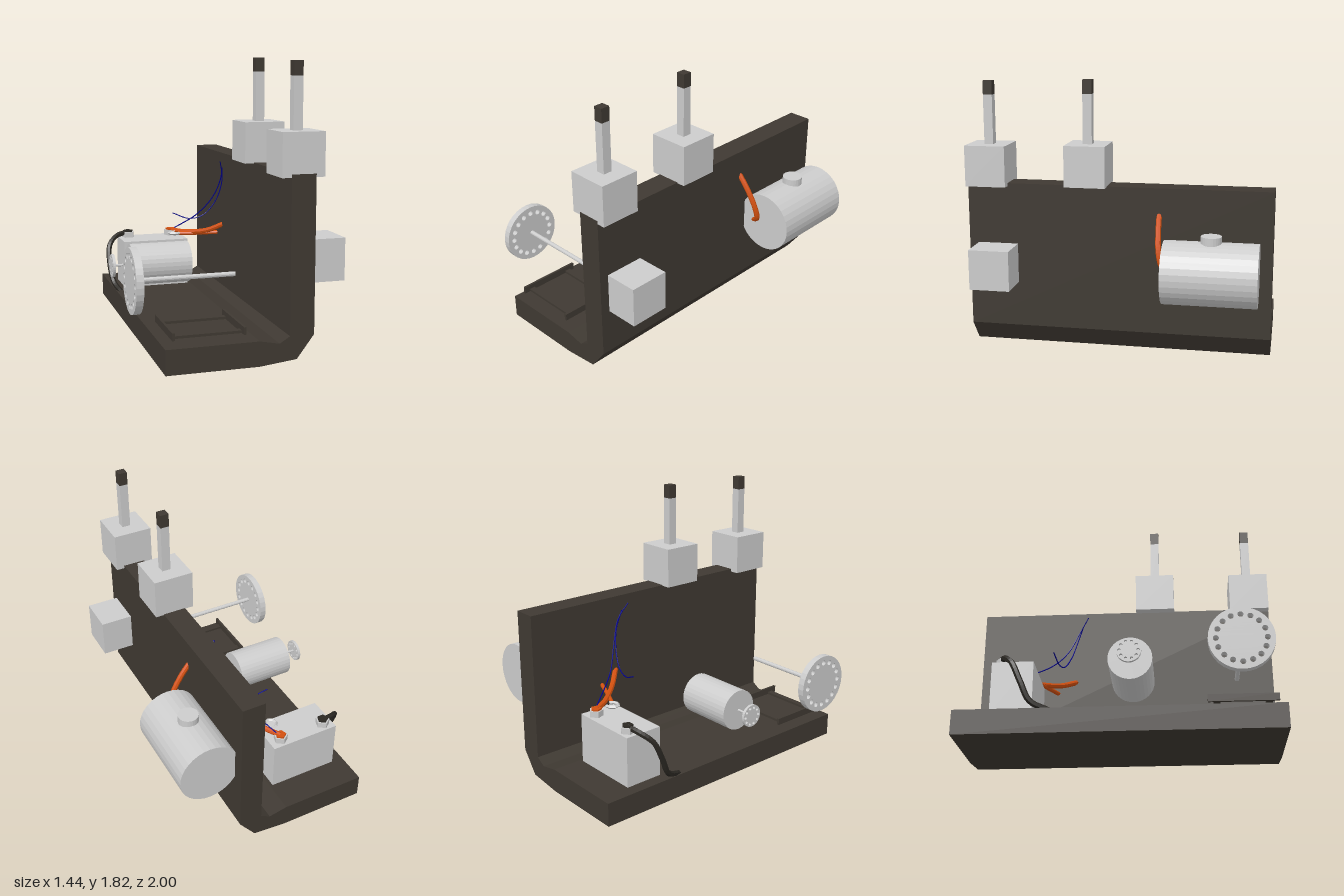
import * as THREE from 'three';

const mat = (name, color, flatShading = true) => {
  const m = new THREE.MeshStandardMaterial({ color, flatShading });
  m.name = name;
  return m;
};

export function createModel() {
  const root = new THREE.Group();
  const grey = mat('light grey', 0xcccccc);
  const brown = mat('dark brown', 0x3f3932);
  const black = mat('black rubber', 0x2b2823);
  const orange = mat('orange', 0xd2500f);
  const navy = mat('navy', 0x00008b);

  const add = (name, geo, material, x = 0, y = 0, z = 0, parent = root) => {
    const mesh = new THREE.Mesh(geo, material);
    mesh.name = name;
    mesh.position.set(x, y, z);
    parent.add(mesh);
    return mesh;
  };
  const box = (name, m, x0, x1, y0, y1, z0, z1) =>
    add(name, new THREE.BoxGeometry(x1 - x0, y1 - y0, z1 - z0), m,
      (x0 + x1) / 2, (y0 + y1) / 2, (z0 + z1) / 2);
  // cylinder lying along x
  const rodX = (name, m, r, x0, x1, y, z, sides = 32) =>
    add(name, new THREE.CylinderGeometry(r, r, x1 - x0, sides).rotateZ(Math.PI / 2), m,
      (x0 + x1) / 2, y, z);
  const cable = (name, m, r, points, sides = 6) => {
    const curve = new THREE.CatmullRomCurve3(points.map((p) => new THREE.Vector3(...p)));
    return add(name, new THREE.TubeGeometry(curve, 24, r, sides), m);
  };

  // L-shaped body: floor, bevelled corner and upright wall
  const profile = [[-0.575, 0], [0, 0], [0.235, 0.025], [0.345, 0.17], [0.345, 1.14],
    [0.19, 1.14], [0.19, 0.17], [0.125, 0.13], [0, 0.155], [-0.575, 0.155]];
  const section = new THREE.Shape(profile.map(([x, y]) => new THREE.Vector2(x, y)));
  add('body', new THREE.ExtrudeGeometry(section, { depth: 2, bevelEnabled: false }), brown, 0, 0, -1);

  // Two blocks with tipped posts on top of the wall
  for (const [z, y] of [[0.865, 1.12], [0.205, 1.135]]) {
    box('postBlock', grey, 0.13, 0.4, y, y + 0.268, z - 0.134, z + 0.134);
    box('post', grey, 0.238, 0.297, y + 0.268, y + 0.59, z - 0.03, z + 0.03);
    box('postTip', brown, 0.238, 0.297, y + 0.59, y + 0.68, z - 0.03, z + 0.03);
  }

  // Block and tank on the outer side of the wall
  box('sideBlock', grey, 0.3, 0.567, 0.47, 0.735, 0.67, 0.937);
  add('tank', new THREE.CylinderGeometry(0.202, 0.202, 0.595, 32).rotateX(Math.PI / 2),
    grey, 0.517, 0.642, -0.622);
  add('tankCap', new THREE.CylinderGeometry(0.066, 0.066, 0.1, 24), grey, 0.515, 0.835, -0.622);

  // Discs with a ring of holes, facing along x
  const disc = (name, r, holes, holeR, thickness, x, y, z) => {
    const shape = new THREE.Shape().absarc(0, 0, r, 0, Math.PI * 2, false);
    for (let i = 0; i < holes; i++) {
      const a = (i / holes) * Math.PI * 2;
      shape.holes.push(new THREE.Path().absarc(
        Math.cos(a) * r * 0.76, Math.sin(a) * r * 0.76, holeR, 0, Math.PI * 2, true));
    }
    const geo = new THREE.ExtrudeGeometry(shape, { depth: thickness, bevelEnabled: false, curveSegments: 16 });
    geo.translate(0, 0, -thickness / 2).rotateY(Math.PI / 2);
    add(name, geo, grey, x, y, z);
  };
  disc('wheel', 0.2, 16, 0.018, 0.045, -0.702, 0.51, 0.738);
  rodX('wheelShaft', grey, 0.015, -0.7, -0.07, 0.51, 0.738, 12);

  // Motor with a small pulley
  rodX('motor', grey, 0.136, -0.582, -0.187, 0.458, 0.07);
  rodX('motorShaft', grey, 0.008, -0.7, -0.58, 0.458, 0.07, 10);
  disc('pulley', 0.075, 10, 0.01, 0.018, -0.697, 0.458, 0.07);

  // Low frame under the wheel shaft
  for (const x of [-0.515, -0.077]) box('frameEnd', brown, x - 0.008, x + 0.008, 0.19, 0.236, 0.53, 0.957);
  for (const z of [0.585, 0.897]) box('frameRail', brown, -0.515, -0.077, 0.19, 0.206, z - 0.02, z + 0.02);

  // Battery with terminals
  box('battery', grey, -0.495, -0.02, 0.15, 0.49, -0.79, -0.53);
  for (const [x, m] of [[-0.425, black], [-0.1, orange]]) {
    add('terminal', new THREE.CylinderGeometry(0.048, 0.048, 0.04, 5).rotateY(Math.PI), grey, x, 0.51, -0.73);
    add('terminalCore', new THREE.CylinderGeometry(0.037, 0.037, 0.05, 5).rotateY(Math.PI), m, x, 0.516, -0.73);
  }
  add('openClamp', new THREE.TorusGeometry(0.04, 0.012, 4, 6, Math.PI * 1.6).rotateX(Math.PI / 2),
    grey, -0.1, 0.525, -0.6);

  // Cables
  cable('groundCable', black, 0.019, [[-0.43, 0.525, -0.73], [-0.51, 0.51, -0.71], [-0.58, 0.45, -0.65],
    [-0.592, 0.32, -0.59], [-0.575, 0.2, -0.53], [-0.545, 0.15, -0.42]]);
  cable('upperPowerCable', orange, 0.018, [[-0.1, 0.53, -0.73], [-0.03, 0.53, -0.61], [0.1, 0.56, -0.45],
    [0.2, 0.62, -0.345]], 8);
  cable('lowerPowerCable', orange, 0.014, [[-0.07, 0.525, -0.58], [0.06, 0.53, -0.52], [0.2, 0.54, -0.465]], 8);
  cable('tankCable', orange, 0.018, [[0.32, 0.98, -0.27], [0.4, 0.88, -0.275], [0.465, 0.76, -0.285],
    [0.475, 0.67, -0.305], [0.42, 0.62, -0.34]], 8);
  cable('longWire', navy, 0.004, [[-0.08, 0.54, -0.71], [0.05, 0.68, -0.5], [0.14, 0.82, -0.4],
    [0.18, 0.98, -0.33], [0.15, 1.09, -0.265]]);
  cable('shortWire', navy, 0.004, [[-0.15, 0.7, -0.46], [-0.03, 0.657, -0.435], [0.07, 0.685, -0.41],
    [0.15, 0.79, -0.375], [0.185, 0.92, -0.34], [0.175, 1.04, -0.3]]);

  return root;
}
